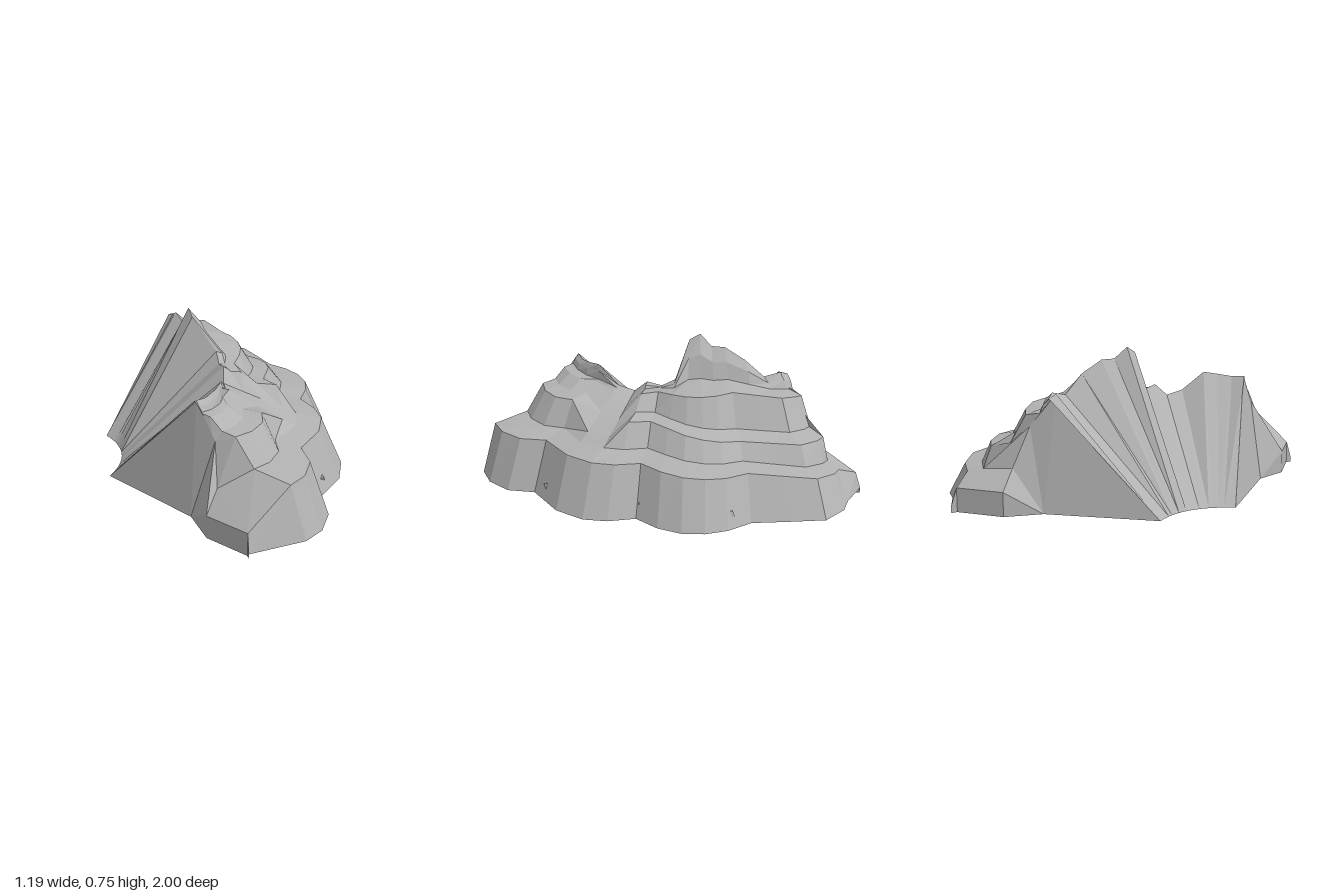
import * as THREE from 'three';

// Scalloped foot of the cliff, one [x, z] per column between the two ends
const OUTLINE = [
  [0.13, -0.945], [0.22, -0.93], [0.33, -0.85], [0.38, -0.68], [0.43, -0.5], [0.52, -0.4],
  [0.57, -0.3], [0.59, -0.19], [0.57, -0.07], [0.51, 0.05], [0.56, 0.18], [0.57, 0.3],
  [0.52, 0.45], [0.38, 0.61], [0.39, 0.75], [0.33, 0.87], [0.24, 0.94],
];
const LAST = OUTLINE.length + 1; // index of the +z end column
const RAVINE = [12, 13]; // columns that run straight down from the crest to the first ledge

// Top edges of the terraces, foot to crest: reach out from the fan's root, and height,
// both spread evenly from the first scallop to the last
const TOPS = [
  { reach: [1, 1], height: [0.03, 0.03] },
  { reach: [0.92, 0.91, 0.9, 0.9, 0.92], height: [0.17, 0.25, 0.277, 0.287, 0.29] },
  { reach: [0.8, 0.76, 0.7, 0.74, 0.66], height: [0.3, 0.34, 0.395, 0.44, 0.44] },
  { reach: [0.63, 0.6, 0.57, 0.55, 0.54], height: [0.46, 0.525, 0.51, 0.47, 0.5] },
  {
    reach: [0.52, 0.5, 0.46, 0.45, 0.42, 0.38, 0.345, 0.35, 0.46, 0.49, 0.48, 0.47, 0.49, 0.53, 0.49, 0.47, 0.46],
    height: [0.54, 0.56, 0.54, 0.63, 0.69, 0.69, 0.745, 0.715, 0.54, 0.5, 0.52, 0.46, 0.48, 0.57, 0.56, 0.55, 0.555],
  },
];

// Each band ends at: the top edge it starts from, then how far it runs inwards and upwards to the next
const BANDS = [
  ['lowerCliff', 1, 0, 0], ['lowerLedge', 1, 0.65, 0.12],
  ['middleCliff', 2, 0, 0], ['middleLedge', 2, 0.55, 0.12],
  ['upperCliff', 3, 0, 0], ['upperLedge', 3, 0.6, 0.12],
  ['summitCliff', 3, 0.75, 0.62], ['summit', 4, 0, 0],
];

const { lerp } = THREE.MathUtils;
const vec = (x, y, z) => new THREE.Vector3(x, y, z);

// Value of an evenly spread list at t from 0 to 1
function sample(list, t) {
  const i = Math.min(Math.floor(t * (list.length - 1)), list.length - 2);
  return lerp(list[i], list[i + 1], t * (list.length - 1) - i);
}

// Point on the small ground arc where the back slope converges
function fanRoot(col) {
  const s = THREE.MathUtils.clamp((2 * col) / LAST - 1, -1, 1);
  return vec(-0.53 - 0.07 * s * s, 0, 0.21 * s);
}

// Edge of the end face, from the foot up to the crest
function endPoint(row, side) {
  const x = side > 0 ? -0.03 : -0.01;
  if (row === 0) return vec(x, 0.03, side);
  if (row === 1) return vec(x, 0.118, 0.97 * side);
  if (row === 2) return vec(-0.13, 0.21, 0.735 * side);
  const t = (row - 3) / (BANDS.length - 3);
  return vec(lerp(-0.125, -0.195, t), lerp(0.4, 0.555, t), lerp(0.64, 0.535, t) * side);
}

// Low shelf below the end face, dropping to the ground behind it
function skirtPoint(row, side) {
  if (row === 0) return endPoint(0, side).setY(0);
  if (row === 1) return endPoint(1, side);
  return row === 2 ? vec(-0.19, 0.118, 0.81 * side) : vec(-0.24, 0, 0.63 * side);
}

function pointAt(row, col) {
  if (col < 0 || col > LAST) return skirtPoint(row, Math.sign(col));
  if (col === 0 || col === LAST) return endPoint(row, col ? 1 : -1);
  const [, top, inward, upward] = row ? BANDS[row - 1] : ['foot', 0, 0, 0];
  const crest = TOPS.length - 1;
  const next = Math.min(top + 1, crest);
  const t = (col - 1) / (LAST - 2);
  const reach = lerp(sample(TOPS[top].reach, t), sample(TOPS[next].reach, t), inward);
  let y = lerp(sample(TOPS[top].height, t), sample(TOPS[next].height, t), upward);
  if (row > 1 && RAVINE.includes(col)) {
    const climb = (0.8 - reach) / (0.8 - sample(TOPS[crest].reach, t));
    y = lerp(0.3, sample(TOPS[crest].height, t), climb);
  }
  const root = fanRoot(col);
  const [x, z] = OUTLINE[col - 1];
  return vec(lerp(root.x, x, reach), y, lerp(root.z, z, reach));
}

// Skin between two lines of points, leaving out empty triangles
function strip(lineA, lineB) {
  const verts = [];
  const add = (a, b, c) => {
    if (new THREE.Triangle(a, b, c).getArea() > 1e-6) {
      for (const p of [a, b, c]) verts.push(p.x, p.y, p.z);
    }
  };
  for (let i = 0; i < lineA.length - 1; i++) {
    add(lineA[i], lineB[i], lineA[i + 1]);
    add(lineA[i + 1], lineB[i], lineB[i + 1]);
  }
  const geo = new THREE.BufferGeometry();
  geo.setAttribute('position', new THREE.Float32BufferAttribute(verts, 3));
  geo.computeVertexNormals();
  return geo;
}

export function createModel() {
  const group = new THREE.Group();
  const stone = new THREE.MeshStandardMaterial({ color: 0xb2b2b2, flatShading: true, side: THREE.DoubleSide });
  stone.name = 'grey stone';
  const add = (name, geo) => {
    const mesh = new THREE.Mesh(geo, stone);
    mesh.name = name;
    group.add(mesh);
    return mesh;
  };
  const columns = Array.from({ length: LAST + 3 }, (_, i) => i - 1);

  // Terraced cliffs and ledges, then the fan-shaped back
  const lines = [];
  for (let row = 0; row <= BANDS.length; row++) lines.push(columns.map((col) => pointAt(row, col)));
  BANDS.forEach(([name], row) => add(name, strip(lines[row], lines[row + 1])));
  add('backSlope', strip(lines[BANDS.length], columns.map(fanRoot)));

  // Vertical walls closing the two shelves down to the ground
  for (const [name, side] of [['rightEndWall', -1], ['leftEndWall', 1]]) {
    const top = [0, 1, 2, 3].map((row) => skirtPoint(row, side));
    const ground = top.map((p) => vec(p.x, 0, p.z));
    add(name, side > 0 ? strip(top, ground) : strip(ground, top));
  }

  // Small stones set into the lower cliff
  for (const [x, z] of [[0.465, 0.03], [0.46, -0.4], [0.395, 0.53], [0.33, 0.75]]) {
    const peg = add('embeddedStone', new THREE.BoxGeometry(0.04, 0.03, 0.03));
    peg.position.set(x, 0.09, z);
    peg.rotation.set(0.3, 0.4, 0.2);
  }
  return group;
}
